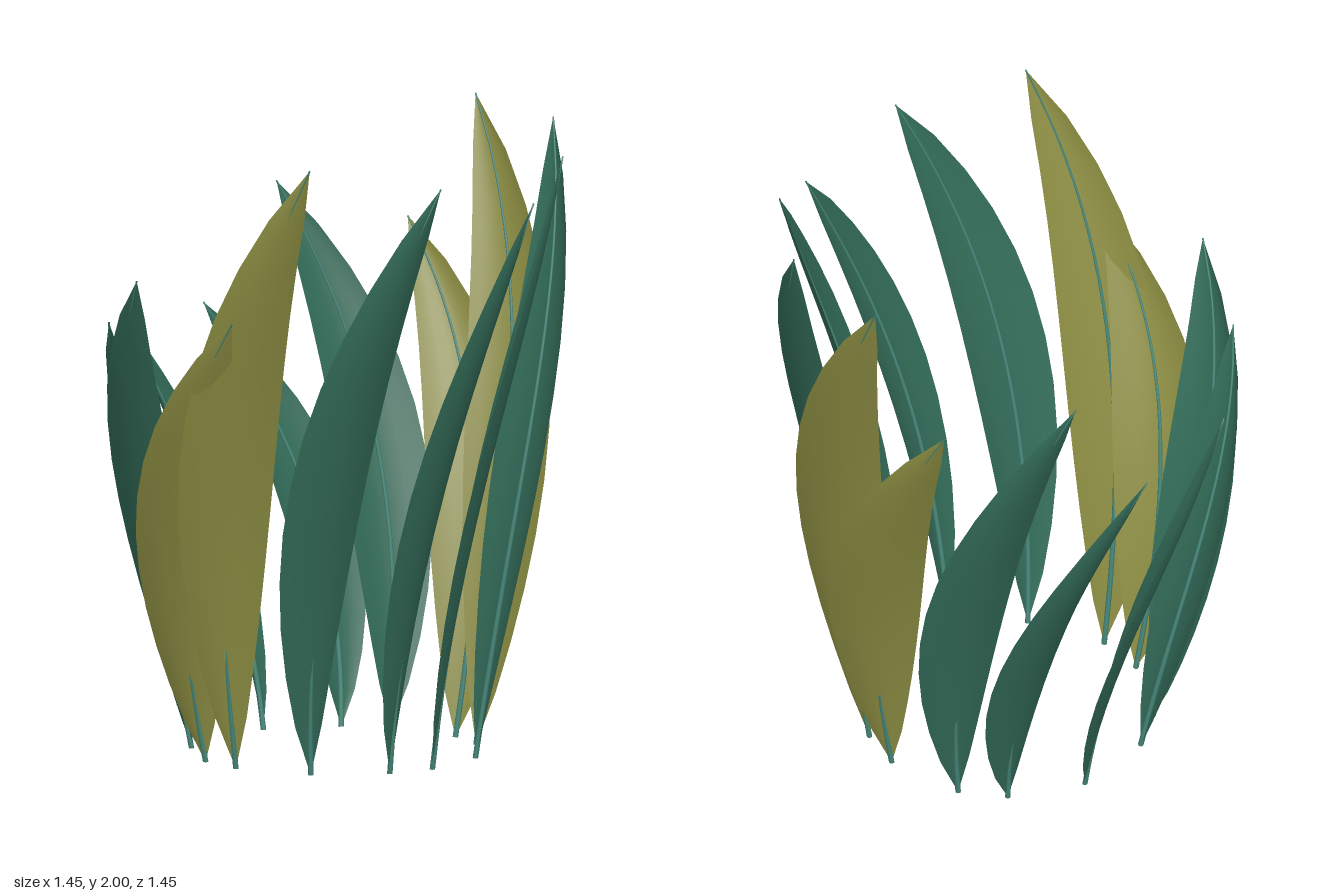
import * as THREE from 'three';

// Ring of upright, twisting leaves: [base angle in degrees, height, olive?]
const LEAVES = [
  [0, 2.0, true], [-19, 1.59, true], [-52, 1.7], [-72, 1.33], [-104, 1.34],
  [-138, 1.39], [-157.5, 1.56], [169.7, 1.47, true], [149.5, 1.97, true],
  [116, 1.9], [84.3, 1.81], [64.5, 1.92], [32.7, 1.98],
];
const ROWS = 12, COLS = 8, RIB = 0.009;

// Point on the midrib: leans outwards and sweeps round the ring as it rises
function spine(s, base, height) {
  const r = 0.457 + 0.3 * s - 0.03 * s ** 5;
  const a = base - 0.646 * s * s;
  return new THREE.Vector3(r * Math.cos(a), height * s, r * Math.sin(a));
}

const halfWidth = (s) => 0.15 * Math.max(0, Math.sin(Math.PI * s ** 1.05)) ** 0.75;

// Cupped blade, level across its width, set askew to the ring, edges curling inside
function bladeGeometry(base, height) {
  const pos = [], index = [];
  for (let i = 0; i <= ROWS; i++) {
    const s = i / ROWS, p = spine(s, base, height);
    const t = spine(s + 0.005, base, height).sub(spine(s - 0.005, base, height));
    const across = base + 0.84 - 0.17 * s;
    const w = new THREE.Vector3(Math.cos(across), 0, Math.sin(across));
    const inner = new THREE.Vector3().crossVectors(w, t).normalize();
    const h = halfWidth(s);
    for (let j = 0; j <= COLS; j++) {
      const u = (j / COLS) * 2 - 1;
      const v = p.clone().addScaledVector(w, u * h)
        .addScaledVector(inner, 0.25 * h * u * u - 0.012 * Math.sin(Math.PI * s));
      pos.push(v.x, v.y, v.z);
      if (i < ROWS && j < COLS) {
        const a = i * (COLS + 1) + j, b = a + COLS + 1;
        index.push(a, b, a + 1, b, b + 1, a + 1);
      }
    }
  }
  const g = new THREE.BufferGeometry();
  g.setAttribute('position', new THREE.Float32BufferAttribute(pos, 3));
  g.setIndex(index);
  g.computeVertexNormals();
  return g;
}

// Round midrib, thinning towards the tip
function ribGeometry(base, height) {
  const pts = Array.from({ length: 12 }, (_, i) => spine(i / 11, base, height));
  const curve = new THREE.CatmullRomCurve3(pts);
  const segs = 24, sides = 6;
  const g = new THREE.TubeGeometry(curve, segs, RIB, sides);
  const p = g.attributes.position, v = new THREE.Vector3();
  for (let i = 0; i < p.count; i++) {
    const u = Math.floor(i / (sides + 1)) / segs, c = curve.getPointAt(u);
    v.fromBufferAttribute(p, i).sub(c).multiplyScalar(1 - 0.7 * u).add(c);
    p.setXYZ(i, v.x, Math.max(0, v.y), v.z);
  }
  return g;
}

export function createModel() {
  const material = (name, color) => {
    const m = new THREE.MeshStandardMaterial({ color, side: THREE.DoubleSide });
    m.name = name;
    return m;
  };
  const green = material('leafGreen', 0x336c59);
  const olive = material('leafOlive', 0x8c8d42);
  const ribGreen = material('ribGreen', 0x47887a);

  const plant = new THREE.Group();
  plant.name = 'leafRing';
  LEAVES.forEach(([degrees, height, isOlive], i) => {
    const base = THREE.MathUtils.degToRad(degrees);
    const leaf = new THREE.Group();
    leaf.name = `leaf${i + 1}`;
    const blade = new THREE.Mesh(bladeGeometry(base, height), isOlive ? olive : green);
    blade.name = 'blade';
    const rib = new THREE.Mesh(ribGeometry(base, height), ribGreen);
    rib.name = 'midrib';
    leaf.add(blade, rib);
    plant.add(leaf);
  });
  return plant;
}
